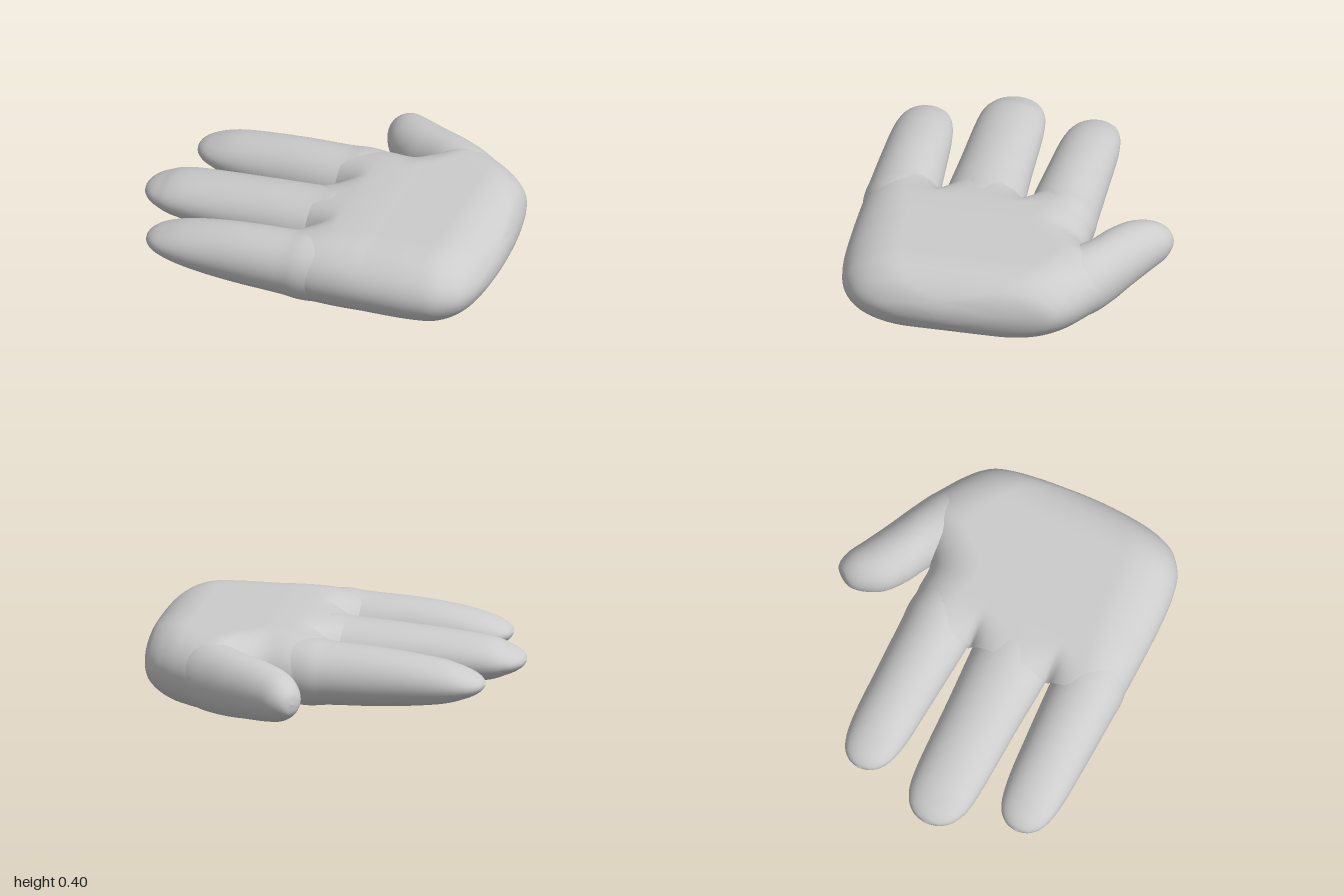
import * as THREE from 'three';

const MID = 0.2; // height of the hand's plane of symmetry
const material = new THREE.MeshStandardMaterial({ color: 0xcccccc });

const clamp = (v) => Math.min(1, Math.max(0, v));
// quarter-ellipse rise from 0 at the rim to 1
const round = (t) => Math.sqrt(1 - (1 - clamp(t)) ** 2);

// Smooth skin over sections [ax, az, bx, bz, h]: a and b are the two side
// edges, h the half thickness. profile(s, x, z, half) shapes each section.
function loft(name, sections, profile, rows, sides) {
  const edge = (k) => new THREE.CatmullRomCurve3(
    sections.map((s) => new THREE.Vector3(s[k], s[4], s[k + 1])), false, 'catmullrom', 0.5);
  const edgeA = edge(0), edgeB = edge(2);
  const pos = [], index = [];
  for (let i = 0; i <= rows; i++) {
    const a = edgeA.getPoint(i / rows), b = edgeB.getPoint(i / rows);
    const half = a.distanceTo(b) / 2;
    for (let j = 0; j < sides; j++) {
      const t = (j / sides) * Math.PI * 2, s = Math.cos(t);
      const x = (a.x + b.x) / 2 + ((b.x - a.x) / 2) * s;
      const z = (a.z + b.z) / 2 + ((b.z - a.z) / 2) * s;
      const y = Math.max(0, a.y) * profile(s, x, z, half) * Math.sign(Math.sin(t));
      pos.push(x, MID + y, z);
      if (i < rows) {
        const p = i * sides + j, q = i * sides + ((j + 1) % sides);
        index.push(p, p + sides, q, q, p + sides, q + sides);
      }
    }
  }
  const geometry = new THREE.BufferGeometry();
  geometry.setAttribute('position', new THREE.Float32BufferAttribute(pos, 3));
  geometry.setIndex(index);
  geometry.computeVertexNormals();
  const mesh = new THREE.Mesh(geometry, material);
  mesh.name = name;
  return mesh;
}

const oval = (s) => Math.sqrt(Math.max(0, 1 - s * s));

// Straight finger from its tip back into the palm
function finger(name, tip, tipZ, baseZ, width) {
  const stations = [ // x, width factor, half thickness
    [tip, 0, 0],
    [tip + 0.025, 0.39, 0.035],
    [tip + 0.095, 0.69, 0.072],
    [tip + 0.24, 0.86, 0.115],
    [-0.35, 0.94, 0.15],
    [-0.06, 1.01, 0.165],
    [0.08, 1.02, 0.177],
    [0.32, 0.8, 0.16],
  ];
  const sections = stations.map(([x, w, h]) => {
    const z = THREE.MathUtils.lerp(tipZ, baseZ, clamp((x - tip) / (-0.05 - tip)));
    return [x, z - w * width, x, z + w * width, h];
  });
  return loft(name, sections, oval, 56, 40);
}

// Palm: rounded rim, grooves running into the webs between the fingers
function palm() {
  const outline = [ // x, back edge z, front edge z, half thickness
    [-0.04, -0.385, 0.822, 0.16],
    [0.15, -0.395, 0.828, 0.19],
    [0.3, -0.4, 0.83, 0.2],
    [0.42, -0.5, 0.83, 0.2],
    [0.52, -0.6, 0.828, 0.2],
    [0.62, -0.57, 0.823, 0.2],
    [0.72, -0.51, 0.81, 0.2],
    [0.8, -0.455, 0.79, 0.2],
    [0.87, -0.395, 0.75, 0.2],
    [0.92, -0.32, 0.7, 0.2],
    [0.955, -0.18, 0.63, 0.2],
    [0.98, 0, 0.53, 0.2],
    [0.993, 0.17, 0.38, 0.2],
    [0.997, 0.27, 0.27, 0.2],
  ];
  const webs = [-0.01, 0.437];
  const profile = (s, x, z, half) => {
    const rim = Math.min(half, 0.2 + 0.1 * clamp(x / 0.4)) || 1;
    const side = round((half * (1 - Math.abs(s))) / rim);
    const heel = round((0.997 - x) / 0.28);
    const groove = (1 - clamp((x + 0.04) / 0.2)) ** 2;
    const gap = Math.min(...webs.map((w) => Math.abs(z - w)));
    return side * heel * (1 - groove * (1 - round(gap / 0.2)));
  };
  return loft('palm', outline.map(([x, z0, z1, h]) => [x, z0, x, z1, h]), profile, 130, 160);
}

// Thumb: outer edge, inner edge, half thickness, from tip to palm
function thumb() {
  return loft('thumb', [
    [0.03, -0.785, 0.03, -0.785, 0],
    [0.08, -0.825, 0.005, -0.72, 0.06],
    [0.16, -0.815, 0.02, -0.64, 0.11],
    [0.26, -0.76, 0.07, -0.55, 0.14],
    [0.4, -0.685, 0.17, -0.47, 0.16],
    [0.53, -0.62, 0.31, -0.39, 0.175],
    [0.67, -0.54, 0.45, -0.25, 0.18],
    [0.79, -0.42, 0.62, -0.1, 0.15],
  ], oval, 56, 40);
}

export function createModel() {
  const hand = new THREE.Group();
  hand.name = 'hand';
  hand.add(
    palm(),
    thumb(),
    finger('indexFinger', -0.88, -0.235, -0.212, 0.183),
    finger('middleFinger', -1, 0.215, 0.215, 0.208),
    finger('littleFinger', -0.83, 0.655, 0.643, 0.185),
  );
  return hand;
}
